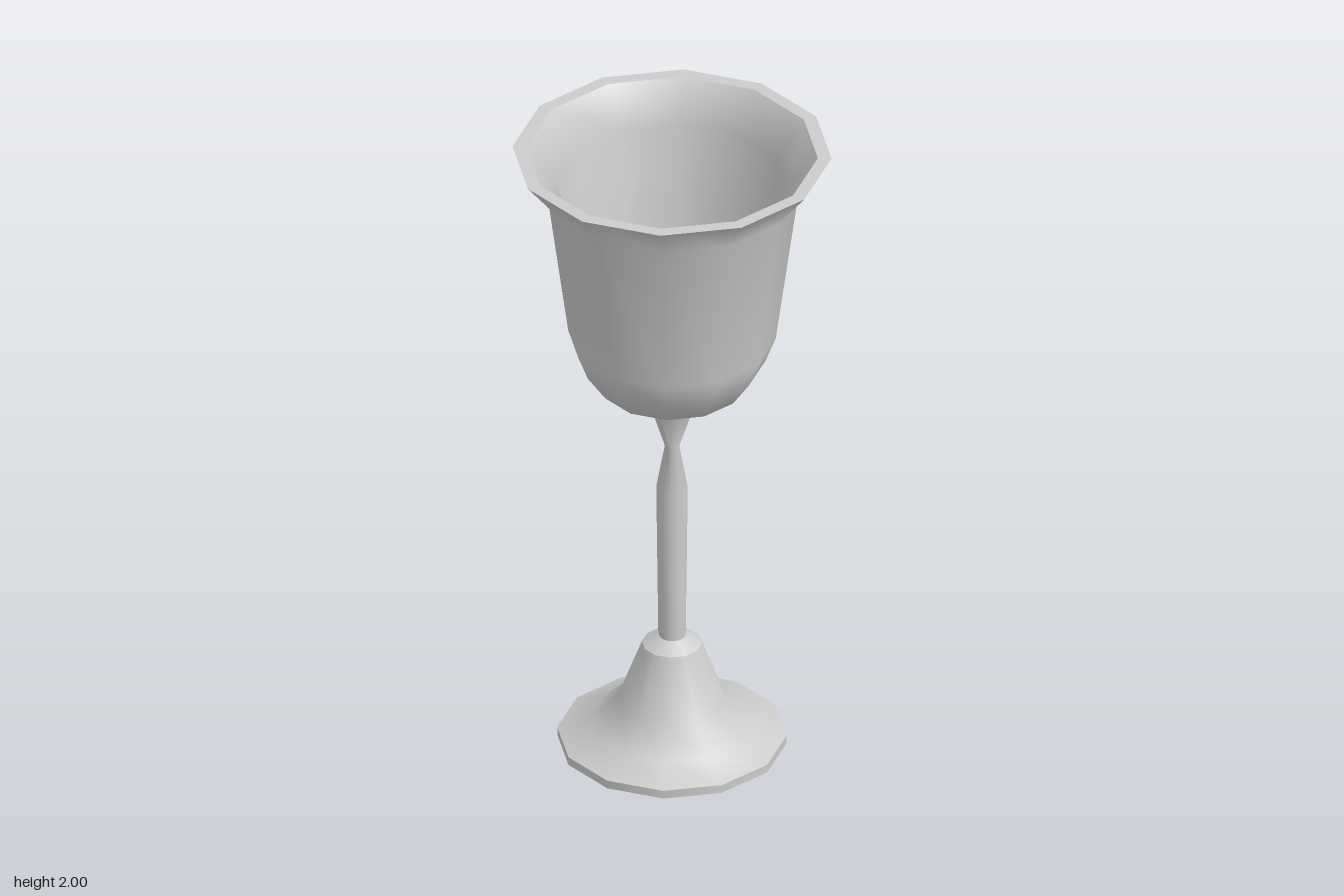
import * as THREE from 'three';

const SIDES = 12;

export function createModel() {
  const goblet = new THREE.Group();
  goblet.name = 'goblet';
  const material = new THREE.MeshStandardMaterial({ color: 0xcccccc });

  // Each run is a smooth strip of the profile [radius, height]; runs meet in sharp edges.
  function addPart(name, runs) {
    const part = new THREE.Group();
    part.name = name;
    for (const [runName, points] of Object.entries(runs)) {
      const profile = points.map(([r, y]) => new THREE.Vector2(r, y));
      const mesh = new THREE.Mesh(new THREE.LatheGeometry(profile, SIDES), material);
      mesh.name = runName;
      part.add(mesh);
    }
    goblet.add(part);
  }

  // Disc with a thin edge, sweeping up into a cone with a bevelled top
  addPart('foot', {
    footUnderside: [[0, 0], [0.335, 0]],
    footEdge: [[0.335, 0], [0.335, 0.026]],
    footCone: [[0.335, 0.026], [0.24, 0.065], [0.157, 0.145], [0.088, 0.33]],
    footBevel: [[0.088, 0.33], [0.042, 0.357]],
  });

  // Slim shaft with a pinched neck flaring out under the bowl
  addPart('stem', {
    stemShaft: [[0.04, 0.357], [0.046, 0.86], [0.021, 1.0], [0.066, 1.14]],
  });

  // Cup with a flared lip, flat rim and hollow inside
  addPart('bowl', {
    bowlOutside: [[0.066, 1.14], [0.215, 1.218], [0.272, 1.3], [0.303, 1.38], [0.37, 1.88], [0.466, 2]],
    bowlRim: [[0.466, 2], [0.426, 2]],
    bowlInside: [[0.426, 2], [0.34, 1.89], [0.275, 1.39], [0.245, 1.315], [0.195, 1.245], [0.06, 1.175], [0, 1.17]],
  });

  return goblet;
}
